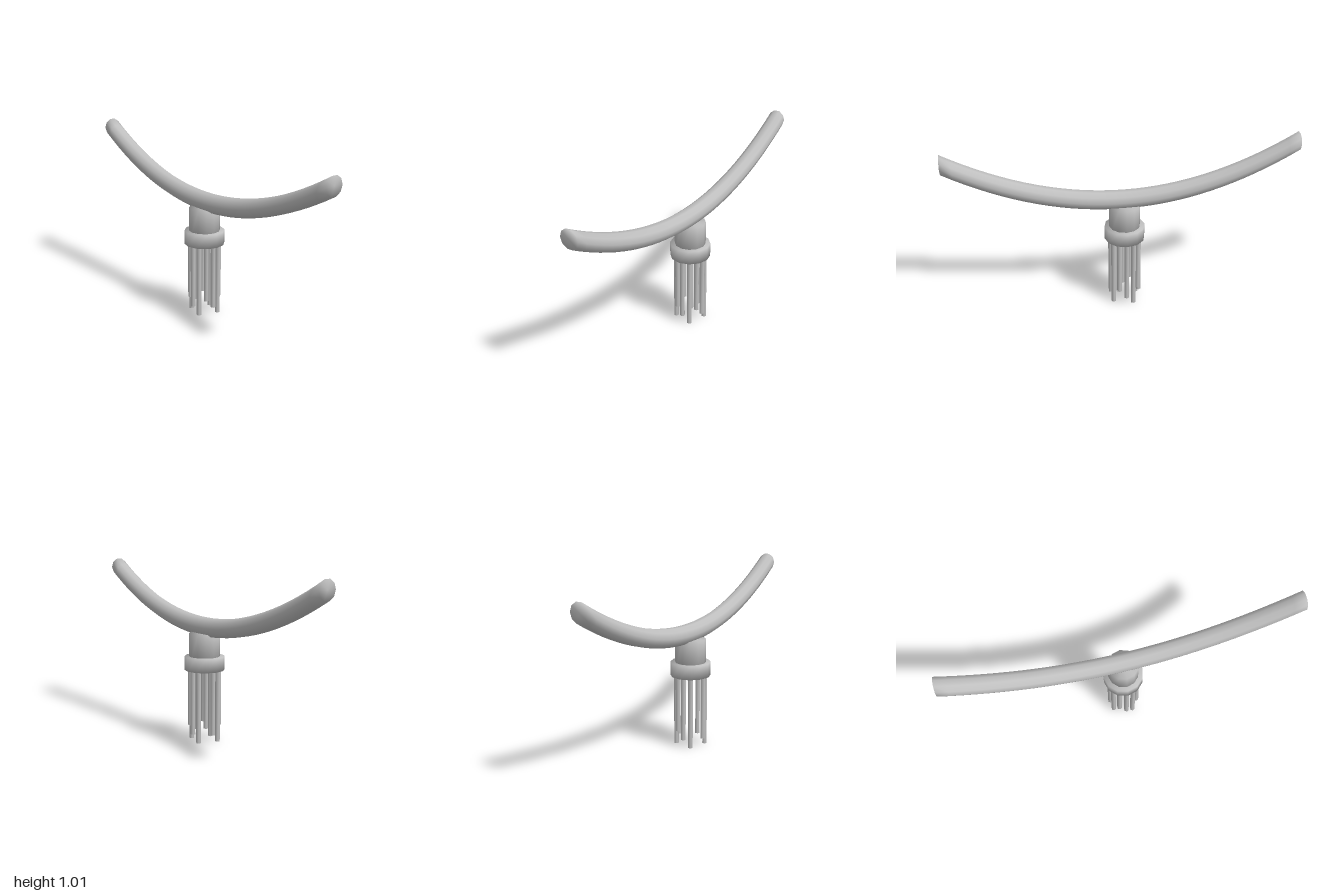
import * as THREE from 'three';
import { mergeVertices } from 'three/addons/utils/BufferGeometryUtils.js';

const grey = new THREE.MeshStandardMaterial({ color: 0xbfbfbf });
grey.name = 'grey';

// Weld the caps to the sides so the shading runs smoothly over the rims
function smooth(geometry) {
  geometry.deleteAttribute('uv');
  geometry.deleteAttribute('normal');
  const welded = mergeVertices(geometry, 1e-4);
  welded.computeVertexNormals();
  return welded;
}

function cylinder(name, radius, bottom, top, sides, x = 0, z = 0) {
  const geometry = new THREE.CylinderGeometry(radius, radius, top - bottom, sides);
  const mesh = new THREE.Mesh(smooth(geometry), grey);
  mesh.name = name;
  mesh.position.set(x, (top + bottom) / 2, z);
  return mesh;
}

// Long handle: a rod bent upward into a parabola, its ends staying vertical
function createHandle() {
  const geometry = new THREE.CylinderGeometry(0.055, 0.055, 2, 10, 32);
  geometry.rotateZ(Math.PI / 2);
  const p = geometry.attributes.position;
  for (let i = 0; i < p.count; i++) {
    p.setY(i, p.getY(i) + 0.672 + 0.29 * p.getX(i) ** 2);
  }
  const mesh = new THREE.Mesh(smooth(geometry), grey);
  mesh.name = 'curvedHandle';
  return mesh;
}

export function createModel() {
  const model = new THREE.Group();
  model.name = 'hangingTassel';
  model.add(createHandle());
  model.add(cylinder('hub', 0.09, 0.5, 0.635, 12));
  model.add(cylinder('collar', 0.117, 0.42, 0.5, 12));

  // Ring of strands in three repeating lengths
  const strands = new THREE.Group();
  strands.name = 'strands';
  const bottoms = [0.045, 0, 0.09];
  for (let i = 0; i < 12; i++) {
    const a = (i / 12) * Math.PI * 2;
    strands.add(cylinder('strand', 0.015, bottoms[i % 3], 0.425, 6,
      0.083 * Math.cos(a), -0.083 * Math.sin(a)));
  }
  model.add(strands);
  return model;
}
